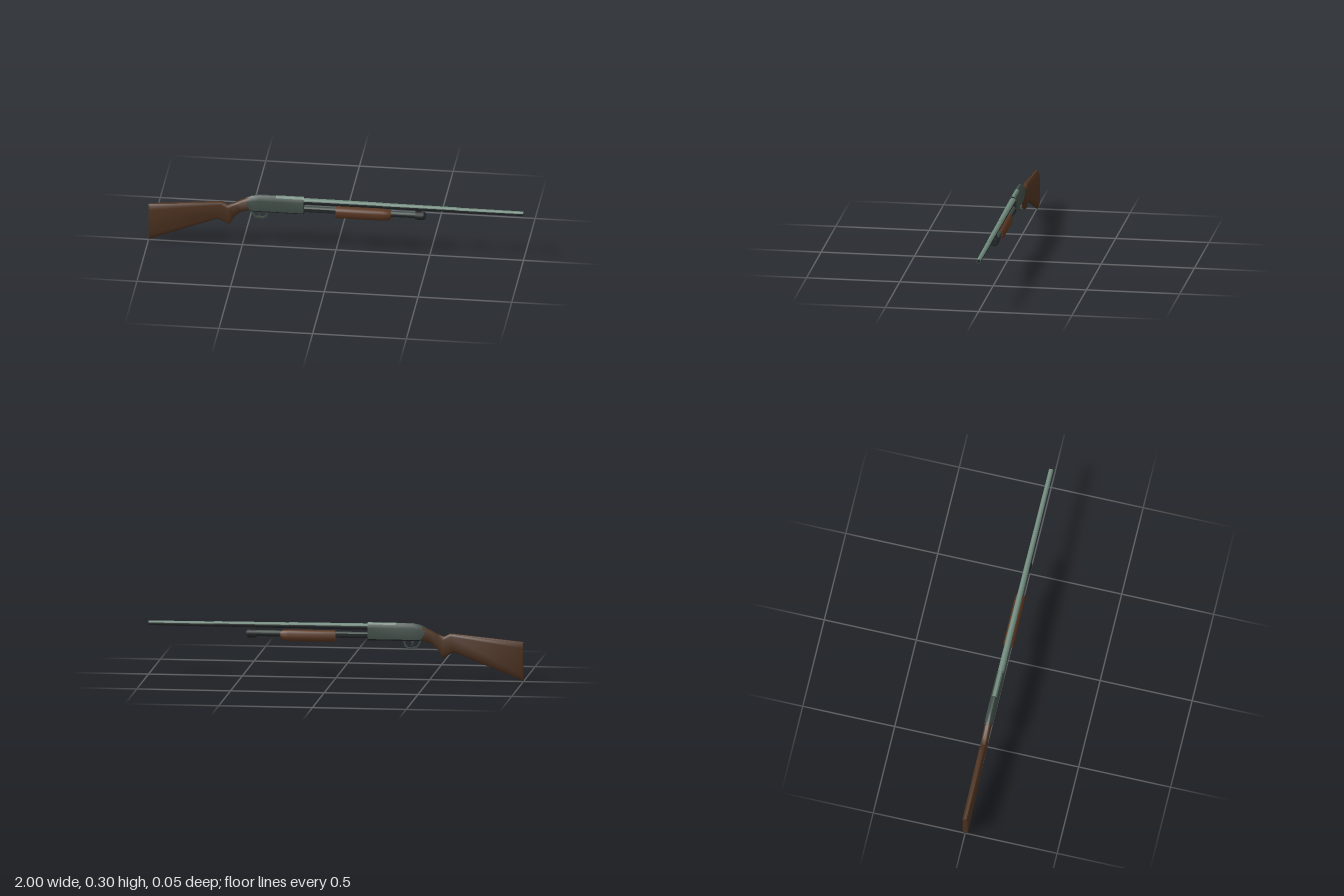
import * as THREE from 'three';
import { toCreasedNormals } from 'three/addons/utils/BufferGeometryUtils.js';

// Loft along +x. Each station is [topX, topY, bottomX, bottomY, halfWidth]; the section
// lists [fraction down, fraction of half width] for one side and is mirrored.
// paint(station, column) picks the material slot; the end caps use slot capSlot.
function loft(stations, section, paint = () => 0, capSlot = 0) {
  const rings = stations.map(([tx, ty, bx, by, w]) => {
    const side = section.map(([t, k]) => [tx + (bx - tx) * t, ty + (by - ty) * t, w * k]);
    return [...side, ...side.map(([x, y, z]) => [x, y, -z]).reverse()];
  });
  const n = rings[0].length, pos = [];
  const g = new THREE.BufferGeometry();
  const tri = (a, b, c) => pos.push(...a, ...b, ...c);
  for (let i = 0; i < rings.length - 1; i++) {
    for (let j = 0; j < n; j++) {
      const k = (j + 1) % n, r = rings[i], s = rings[i + 1];
      g.addGroup(pos.length / 3, 6, paint(i, j));
      tri(r[j], r[k], s[k]);
      tri(r[j], s[k], s[j]);
    }
  }
  const first = rings[0], last = rings[rings.length - 1];
  g.addGroup(pos.length / 3, (n - 2) * 6, capSlot);
  for (let k = 1; k < n - 1; k++) {
    tri(first[0], first[k + 1], first[k]);
    tri(last[0], last[k], last[k + 1]);
  }
  g.setAttribute('position', new THREE.Float32BufferAttribute(pos, 3));
  return toCreasedNormals(g, 0.75);
}

// Cylinder along x from x0 (radius r0) to x1 (radius r1)
function rod(x0, x1, r0, r1, y, sides = 12) {
  const g = new THREE.CylinderGeometry(r1, r0, x1 - x0, sides);
  return g.rotateZ(-Math.PI / 2).translate((x0 + x1) / 2, y, 0);
}

// Open strip of such a cylinder, spanning an arc centred on the top or the bottom
function rodArc(x0, x1, r0, r1, y, sides, top) {
  const arc = sides * Math.PI / 6, middle = top ? 1.5 * Math.PI : 0.5 * Math.PI;
  const g = new THREE.CylinderGeometry(r1, r0, x1 - x0, sides, 1, true, middle - arc / 2, arc);
  return g.rotateZ(-Math.PI / 2).translate((x0 + x1) / 2, y, 0);
}

function box(x0, x1, y0, y1, depth, z = 0) {
  return new THREE.BoxGeometry(x1 - x0, y1 - y0, depth)
    .translate((x0 + x1) / 2, (y0 + y1) / 2, z);
}

const points = (list) => list.map(([x, y]) => new THREE.Vector2(x, y));

function plate(outline, depth, hole) {
  const shape = new THREE.Shape(points(outline));
  if (hole) shape.holes.push(new THREE.Path(points(hole)));
  return new THREE.ExtrudeGeometry(shape, { depth, bevelEnabled: false })
    .translate(0, 0, -depth / 2);
}

export function createModel() {
  const model = new THREE.Group();
  const material = (name, color) => {
    const m = new THREE.MeshStandardMaterial({ color });
    m.name = name;
    return m;
  };
  const wood = material('walnut wood', 0x4d3220);
  const redWood = material('fore-end wood', 0x5a3721);
  const steel = material('green grey steel', 0x404d47);
  const light = material('light worn steel', 0x6f897c);
  const dark = material('dark steel', 0x25292a);
  const add = (name, geometry, mat) => {
    const mesh = new THREE.Mesh(geometry, mat);
    mesh.name = name;
    model.add(mesh);
  };

  // Shoulder stock with pistol grip
  add('stock', loft([
    [-1, 0.212, -1, 0, 0.014],
    [-0.99, 0.213, -0.99, 0.008, 0.017],
    [-0.61, 0.25, -0.63, 0.15, 0.017],
    [-0.575, 0.232, -0.57, 0.118, 0.017],
    [-0.54, 0.247, -0.54, 0.168, 0.017],
    [-0.51, 0.264, -0.505, 0.197, 0.017],
    [-0.465, 0.284, -0.445, 0.214, 0.017],
  ], [[0, 0.35], [0.06, 0.75], [0.15, 1], [0.85, 1], [0.95, 0.7], [1, 0.25]]), [wood]);

  // Receiver with sloped rear, light roof strip and dark underside
  add('receiver', loft([
    [-0.485, 0.276, -0.457, 0.212, 0.0185],
    [-0.45, 0.293, -0.44, 0.208, 0.021],
    [-0.41, 0.301, -0.41, 0.207, 0.021],
    [-0.32, 0.301, -0.32, 0.207, 0.021],
    [-0.17, 0.301, -0.17, 0.207, 0.021],
  ], [[0, 0.25], [0.1, 0.6], [0.3, 1], [0.92, 1], [1, 0.65]], (station, column) => {
    if (column >= 3 && column <= 5) return 2;
    return station === 3 && [0, 8, 9].includes(column) ? 1 : 0;
  }, 2), [steel, light, dark]);

  // Trigger guard and trigger
  add('triggerGuard', plate(
    [[-0.456, 0.211], [-0.446, 0.185], [-0.43, 0.166], [-0.385, 0.163], [-0.366, 0.178], [-0.358, 0.211]],
    0.013,
    [[-0.444, 0.207], [-0.437, 0.188], [-0.425, 0.175], [-0.388, 0.172], [-0.374, 0.184], [-0.368, 0.207]],
  ), steel);
  add('trigger', plate(
    [[-0.418, 0.211], [-0.413, 0.192], [-0.404, 0.177], [-0.4, 0.179], [-0.405, 0.194], [-0.403, 0.211]], 0.007,
  ), steel);

  // Tapered barrel, light on top and dark below, with a hollow muzzle
  for (const [name, ...size] of [
    ['barrelBreech', -0.18, 0.25, 0.0175, 0.0155, 0.278],
    ['barrelMiddle', 0.25, 0.65, 0.0155, 0.0138, 0.277],
    ['barrelMuzzle', 0.65, 1, 0.0138, 0.0125, 0.2755],
  ]) {
    add(name + 'Top', rodArc(...size, 5, true), light);
    add(name + 'Underside', rodArc(...size, 7, false), dark);
  }
  add('muzzleRim', new THREE.RingGeometry(0.009, 0.0125, 12).rotateY(Math.PI / 2).translate(1, 0.2755, 0), steel);
  add('bore', new THREE.CircleGeometry(0.0095, 12).rotateY(Math.PI / 2).translate(0.98, 0.2755, 0), dark);

  // Magazine tube, end cap and barrel lug
  add('magazineTubeTop', rodArc(-0.18, 0.44, 0.0165, 0.0165, 0.232, 5, true), steel);
  add('magazineTubeUnderside', rodArc(-0.18, 0.44, 0.0165, 0.0165, 0.232, 7, false), dark);
  add('magazineCap', rod(0.425, 0.468, 0.023, 0.023, 0.231), dark);
  add('magazineCapEnd', rod(0.468, 0.477, 0.023, 0.018, 0.231), dark);
  add('barrelLug', box(0.425, 0.455, 0.235, 0.272, 0.016), dark);

  // Twin action bars beside the magazine tube
  for (const side of [-1, 1]) {
    add(side > 0 ? 'frontActionBar' : 'backActionBar', box(-0.18, 0.02, 0.227, 0.24, 0.004, side * 0.017), dark);
  }

  // Sliding wooden fore-end
  add('foreEnd', loft([
    [0, 0.252, 0, 0.195, 0.026],
    [0.01, 0.253, 0.01, 0.194, 0.027],
    [0.25, 0.253, 0.25, 0.194, 0.027],
    [0.28, 0.251, 0.28, 0.198, 0.025],
    [0.295, 0.246, 0.295, 0.208, 0.02],
  ], [[0, 0.5], [0.12, 0.8], [0.3, 1], [0.68, 1], [0.88, 0.75], [1, 0.45]]), [redWood]);

  return model;
}
